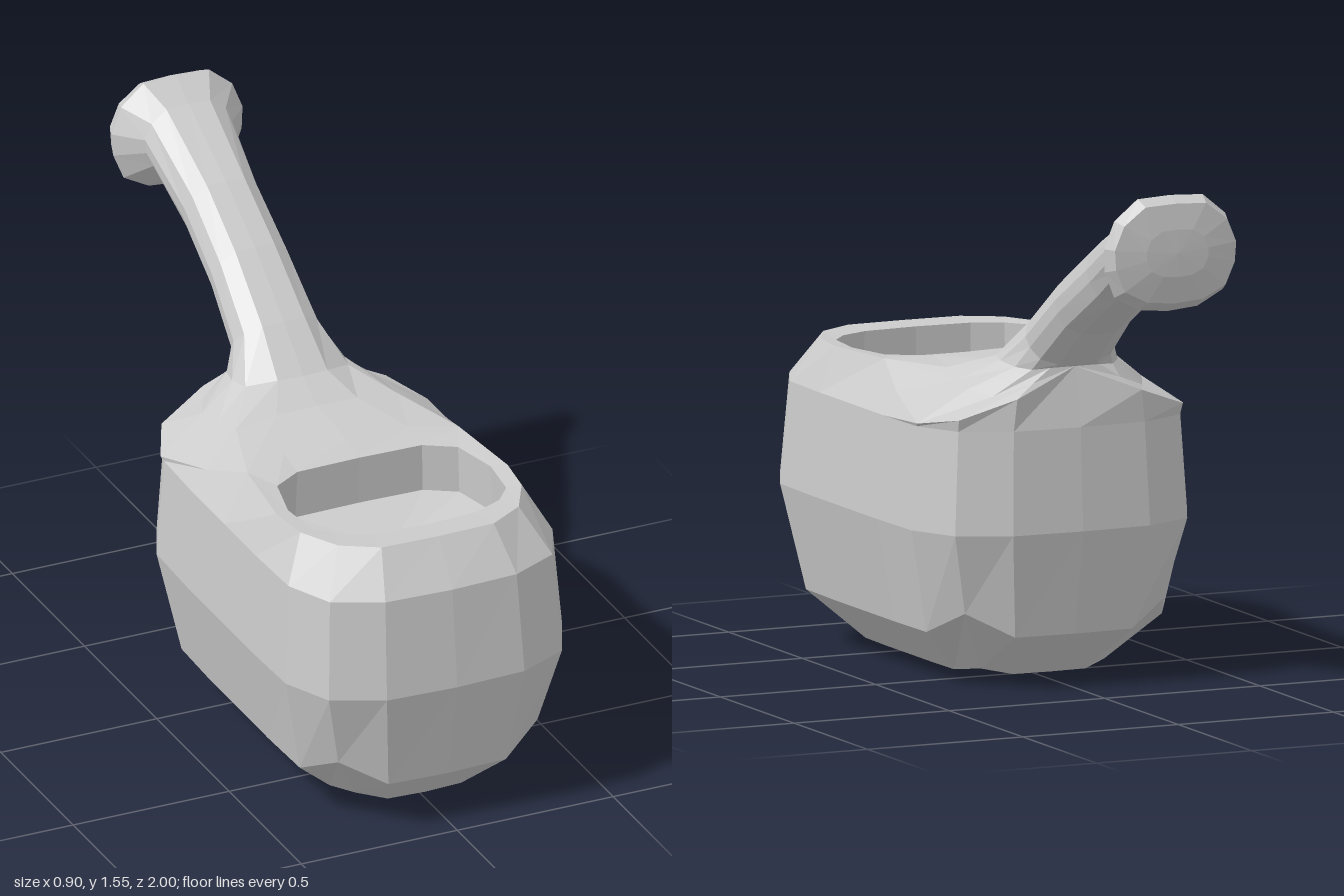
import * as THREE from 'three';

const material = new THREE.MeshStandardMaterial({ color: 0xcccccc, flatShading: true });

// Half loop (x >= 0, front to back) mirrored into a closed ring
const mirror = (half) => [
  ...half,
  ...half.slice(1, -1).reverse().map(([x, y, z]) => [-x, y, z]),
];

// Skin a stack of equal-length rings with flat facets
function loft(name, halves) {
  const rings = halves.map(mirror).map((r) => r.map((p) => new THREE.Vector3(...p)));
  const pos = [];
  const tri = (a, b, c) => {
    const area = b.clone().sub(a).cross(c.clone().sub(a)).length();
    if (area > 1e-6) for (const p of [a, b, c]) pos.push(p.x, p.y, p.z);
  };
  for (let k = 0; k < rings.length - 1; k++) {
    const lo = rings[k], hi = rings[k + 1], n = lo.length;
    for (let i = 0; i < n; i++) {
      const j = (i + 1) % n;
      tri(lo[i], lo[j], hi[j]);
      tri(lo[i], hi[j], hi[i]);
    }
  }
  const geo = new THREE.BufferGeometry();
  geo.setAttribute('position', new THREE.Float32BufferAttribute(pos, 3));
  geo.computeVertexNormals();
  const mesh = new THREE.Mesh(geo, material);
  mesh.name = name;
  return mesh;
}

// Rounded rectangle plan of the body: [x, z] in units of half width and half length
const plan = [[0, 1], [0.49, 0.985], [0.83, 0.88], [0.985, 0.66], [1, 0.33], [1, 0],
  [1, -0.33], [0.985, -0.66], [0.83, -0.88], [0.49, -0.985], [0, -1]];
const bodyRing = (y, w, front, back, cornerLift = 0) => plan.map(([x, z], i) => [
  x * w,
  y + (i === 2 || i === 8 ? cornerLift : 0),
  (front + back) / 2 + z * (front - back) / 2,
]);

// Handle section: top and bottom centre points [z, y] and half width
const section = [[0, 1], [0.5, 0.97], [0.85, 0.62], [1, 0.15],
  [0.98, -0.25], [0.83, -0.7], [0.45, -0.95], [0, -1]];
const handleRing = ([tz, ty], [bz, by], w) => section.map(([x, v]) => [
  x * w,
  (ty + by) / 2 + v * (ty - by) / 2,
  (tz + bz) / 2 + v * (tz - bz) / 2,
]);

export function createModel() {
  const group = new THREE.Group();
  group.name = 'ladlePot';

  // Top edge of the body: level around the mouth, dropping to the rear shoulders
  const topEdge = [[0, 0.905, 0.87], [0.18, 0.905, 0.865], [0.29, 0.905, 0.8],
    [0.355, 0.905, 0.68], [0.37, 0.905, 0.55], [0.34, 0.908, 0.28],
    [0.385, 0.84, 0.1], [0.428, 0.785, -0.13], [0.36, 0.81, -0.27],
    [0.2, 0.87, -0.33], [0, 0.95, -0.3]];
  const rimBack = [[0.2, 0.915, 0.23], [0, 0.92, 0.23]];

  // Body shell
  group.add(loft('body', [
    bodyRing(0, 0, 0.55, 0.1),
    bodyRing(0.022, 0.24, 0.78, -0.13, 0.015),
    bodyRing(0.16, 0.385, 0.94, -0.3, 0.07),
    bodyRing(0.47, 0.45, 1, -0.355),
    bodyRing(0.775, 0.43, 0.967, -0.338),
    topEdge,
  ]));

  // Rim, inner wall and floor of the bowl
  const mouth = [[0, 0.78], [0.17, 0.77], [0.26, 0.73], [0.31, 0.67],
    [0.325, 0.53], [0.29, 0.38], [0.2, 0.325], [0, 0.32]];
  const bowlRing = (y, s) => mouth.map(([x, z]) => [x * s, y, 0.55 + (z - 0.55) * s]);
  group.add(loft('bowl', [
    [...topEdge.slice(0, 6), ...rimBack],
    bowlRing(0.9, 1),
    bowlRing(0.75, 1.02),
    bowlRing(0.71, 0),
  ]));

  // Rear deck rising into the neck
  const neck = [[0, 0.985, -0.065], [0.08, 0.985, -0.07], [0.165, 0.965, -0.11],
    [0.18, 0.96, -0.17], [0.165, 0.95, -0.24], [0.13, 0.945, -0.28],
    [0.08, 0.95, -0.3], [0, 0.95, -0.3]];
  group.add(loft('deck', [
    [...rimBack.slice().reverse(), ...topEdge.slice(5)],
    [[0, 0.933, 0.03], [0.13, 0.93, 0.03], [0.26, 0.915, 0.03], [0.27, 0.895, -0.07],
      [0.28, 0.88, -0.16], [0.24, 0.87, -0.25], [0.14, 0.91, -0.31], [0, 0.95, -0.3]],
    neck,
  ]));

  // Curved handle with a flared end knob
  group.add(loft('handle', [
    neck,
    handleRing([-0.2, 1.1], [-0.32, 0.957], 0.137),
    handleRing([-0.4, 1.25], [-0.46, 1.067], 0.125),
    handleRing([-0.6, 1.37], [-0.67, 1.19], 0.12),
    handleRing([-0.86, 1.5], [-0.85, 1.295], 0.14),
    handleRing([-0.945, 1.555], [-0.93, 1.21], 0.21),
    handleRing([-0.985, 1.535], [-0.98, 1.24], 0.195),
    handleRing([-0.997, 1.46], [-0.997, 1.32], 0.1),
    handleRing([-1, 1.39], [-1, 1.39], 0),
  ]));

  return group;
}
